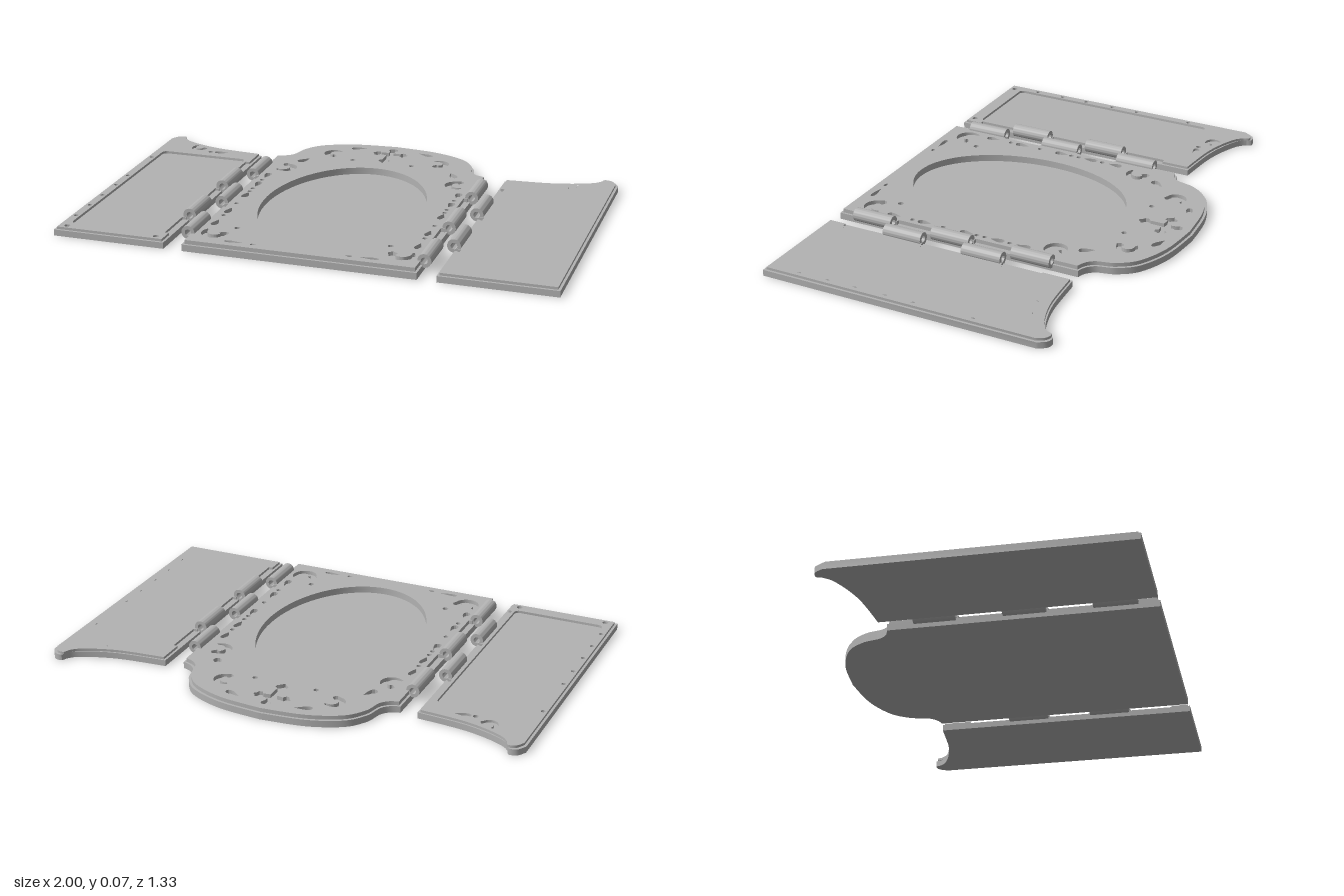
import * as THREE from 'three';
import { toCreasedNormals } from 'three/addons/utils/BufferGeometryUtils.js';

const metal = new THREE.MeshStandardMaterial({ color: 0xb2b2b2 });
metal.name = 'plain grey';

const BASE = 0.027, BARREL = 0.027;
const centreBarrels = [[-0.295, -0.125], [0.055, 0.227], [0.405, 0.58]];
const wingBarrels = [[-0.12, 0.053], [0.23, 0.402]];

// Plan points are [x, z]
const toVec = pts => pts.map(([x, z]) => new THREE.Vector2(x, -z));
const mirror = (pts, s) => pts.map(([x, z]) => [x * s, z]);
const spline = (pts, n) => new THREE.SplineCurve(pts.map(p => new THREE.Vector2(...p)))
  .getPoints(n).map(p => [p.x, p.y]);

// Horizontal plate from y0 to y1 with holes cut through it
function plate(name, outline, holes, y0, y1) {
  const shape = new THREE.Shape(toVec(outline));
  shape.holes = holes.map(h => new THREE.Path(toVec(h)));
  const g = new THREE.ExtrudeGeometry(shape, { depth: y1 - y0, bevelEnabled: false });
  g.rotateX(-Math.PI / 2);
  g.translate(0, y0, 0);
  const mesh = new THREE.Mesh(toCreasedNormals(g, 0.5), metal);
  mesh.name = name;
  return mesh;
}

function ellipse(x, z, rx, rz, n = 12) {
  return Array.from({ length: n }, (_, i) => {
    const a = i / n * Math.PI * 2;
    return [x + rx * Math.cos(a), z + rz * Math.sin(a)];
  });
}

// Teardrop cut, its tip pointing along the angle
function drop(x, z, len, w, angle) {
  const c = Math.cos(angle), s = Math.sin(angle);
  return Array.from({ length: 14 }, (_, i) => {
    const a = i / 14 * Math.PI * 2;
    const u = len / 2 * Math.cos(a), v = w / 2 * Math.sin(a) * (1 - 0.75 * Math.cos(a));
    return [x + u * c - v * s, z + u * s + v * c];
  });
}

// Curled leaf cut: a C stroke, thick at the middle, with one rounded end
function scroll(x, z, r, start, sweep) {
  const outer = [], inner = [], n = 18;
  for (let i = 0; i <= n; i++) {
    const t = i / n, a = start + sweep * t;
    const w = r * (0.1 + 0.2 * Math.sin(Math.PI * t) + 0.22 * Math.exp(-(((t - 0.92) / 0.07) ** 2)));
    const m = r * (0.85 - 0.25 * t);
    outer.push([x + (m + w) * Math.cos(a), z + (m + w) * Math.sin(a)]);
    inner.push([x + (m - w) * Math.cos(a), z + (m - w) * Math.sin(a)]);
  }
  return outer.concat(inner.reverse());
}

// Cross with trefoil ends
function crossCut() {
  const half = [[0, -0.625], [0.016, -0.62], [0.02, -0.605], [0.012, -0.592], [0.01, -0.572],
    [0.042, -0.567], [0.05, -0.58], [0.064, -0.577], [0.068, -0.565], [0.08, -0.557],
    [0.068, -0.545], [0.064, -0.533], [0.05, -0.531], [0.042, -0.544], [0.013, -0.54],
    [0.012, -0.482], [0.024, -0.474], [0.024, -0.458], [0.013, -0.45], [0, -0.436]];
  return half.concat(mirror(half.slice(1, -1), -1).reverse());
}

// Steps along a straight edge at x, cut back to xIn over the given z ranges
function notchedEdge(x, xIn, ranges) {
  return ranges.flatMap(([a, b]) => [[x, a], [xIn, a], [xIn, b], [x, b]]);
}

// Hollow hinge barrel along z
function barrel(name, x, [z0, z1]) {
  const shape = new THREE.Shape().absarc(0, 0, BARREL, 0, Math.PI * 2, false);
  shape.holes.push(new THREE.Path().absarc(0, 0, 0.013, 0, Math.PI * 2, true));
  const g = new THREE.ExtrudeGeometry(shape, { depth: z1 - z0 - 0.004, bevelEnabled: false, curveSegments: 24 });
  g.translate(x, 0.044, z0 + 0.002);
  const mesh = new THREE.Mesh(toCreasedNormals(g, 0.6), metal);
  mesh.name = name;
  return mesh;
}

function centrePanel() {
  const group = new THREE.Group();
  group.name = 'centrePanel';
  // Right half of the arched top, from shoulder to crown
  const shoulder = spline([[0.465, -0.4], [0.43, -0.412], [0.402, -0.44], [0.392, -0.475]], 8);
  const arch = spline([[0.392, -0.475], [0.375, -0.525], [0.315, -0.593], [0.18, -0.647], [0, -0.667]], 24);
  const half = [[0.465, 0.66], ...shoulder, ...arch.slice(1)];
  const whole = h => h.concat(mirror(h.slice(0, -1), -1).reverse());
  const oval = ellipse(0, 0.1, 0.323, 0.46, 72);

  const inset = half.map(([x, z]) => [x * 0.98, z * 0.985]);
  const edge = notchedEdge(inset[0][0], 0.44, wingBarrels).reverse();
  const face = [inset[0], ...edge, ...inset.slice(1)];

  const cuts = [oval, crossCut()];
  for (const s of [1, -1]) {
    const side = [
      scroll(0.23, -0.492, 0.046, -2.2, 4.3),
      scroll(0.375, -0.262, 0.05, 0.9, 4.4),
      scroll(0.372, 0.54, 0.055, -0.6, 4.2),
      drop(0.15, -0.59, 0.07, 0.024, 0.35 + Math.PI),
      drop(0.328, -0.37, 0.065, 0.028, -2.1),
      drop(0.27, 0.612, 0.075, 0.016, Math.PI),
      drop(0.19, 0.615, 0.025, 0.012, Math.PI),
      ellipse(0.13, -0.435, 0.011, 0.011),
      ellipse(0.31, 0.47, 0.012, 0.012),
      ...[-0.14, -0.025, 0.11, 0.3, 0.44].map((z, i) =>
        drop(0.411, z, 0.062, 0.025, i < 2 ? Math.PI / 2 : -Math.PI / 2)),
      ...[-0.08, 0.03, 0.065, 0.215, 0.355].map(z => ellipse(0.411, z, 0.01, 0.01))
    ];
    cuts.push(...side.map(c => mirror(c, s)));
    centreBarrels.forEach(r => group.add(barrel('centreHingeBarrel', s * 0.471, r)));
  }
  group.add(
    plate('centreBase', whole(half), [oval], 0, BASE),
    plate('ovalFloor', ellipse(0, 0.1, 0.323, 0.46, 72), [], 0, 0.015),
    plate('centreFace', whole(face), cuts, BASE, 0.043)
  );
  return group;
}

function wing(s) {
  const group = new THREE.Group();
  group.name = s > 0 ? 'leftWing' : 'rightWing';
  // Swept top edge with a rounded horn at the outer corner
  const sweep = spline([[0.54, -0.415], [0.717, -0.43], [0.824, -0.455], [0.904, -0.488], [0.936, -0.518]], 18);
  const horn = spline([[0.936, -0.518], [0.946, -0.54], [0.978, -0.534], [1, -0.5]], 10);
  const outline = [[1, 0.66], [0.54, 0.66], ...sweep, ...horn.slice(1)];
  const inset = outline.map(([x, z]) => [0.77 + (x - 0.77) * 0.957, z * 0.985]);
  const edge = notchedEdge(inset[1][0], 0.567, centreBarrels).reverse()
    .map(([x, z]) => [x, z]);
  const face = [inset[0], inset[1], ...edge, ...inset.slice(2)];

  // Rounded rectangular recess
  const recess = [[0.937, 0.575, 0], [0.598, 0.575, 1], [0.598, -0.303, 2], [0.937, -0.303, 3]]
    .flatMap(([x, z, q]) => Array.from({ length: 6 }, (_, i) => {
      const a = (q + i / 5) * Math.PI / 2;
      return [x + 0.02 * Math.cos(a), z + 0.02 * Math.sin(a)];
    }));
  const cuts = [
    recess,
    scroll(0.822, -0.412, 0.036, -0.9, 4.2),
    drop(0.708, -0.377, 0.065, 0.022, 0.1 + Math.PI),
    ellipse(0.757, -0.372, 0.011, 0.011),
    ellipse(0.957, 0.628, 0.012, 0.012),
    ellipse(0.583, 0.628, 0.012, 0.012),
    ...[-0.23, 0.02, 0.14, 0.27, 0.39, 0.515].map(z => ellipse(0.973, z, 0.009, 0.009))
  ].map(c => mirror(c, s));

  group.add(
    plate('wingBase', mirror(outline, s), [], 0, 0.025),
    plate('wingFace', mirror(face, s), cuts, 0.025, 0.035)
  );
  wingBarrels.forEach(r => group.add(barrel('wingHingeBarrel', s * 0.537, r)));
  return group;
}

export function createModel() {
  const model = new THREE.Group();
  model.name = 'foldingTriptychFrame';
  model.add(centrePanel(), wing(1), wing(-1));
  return model;
}
